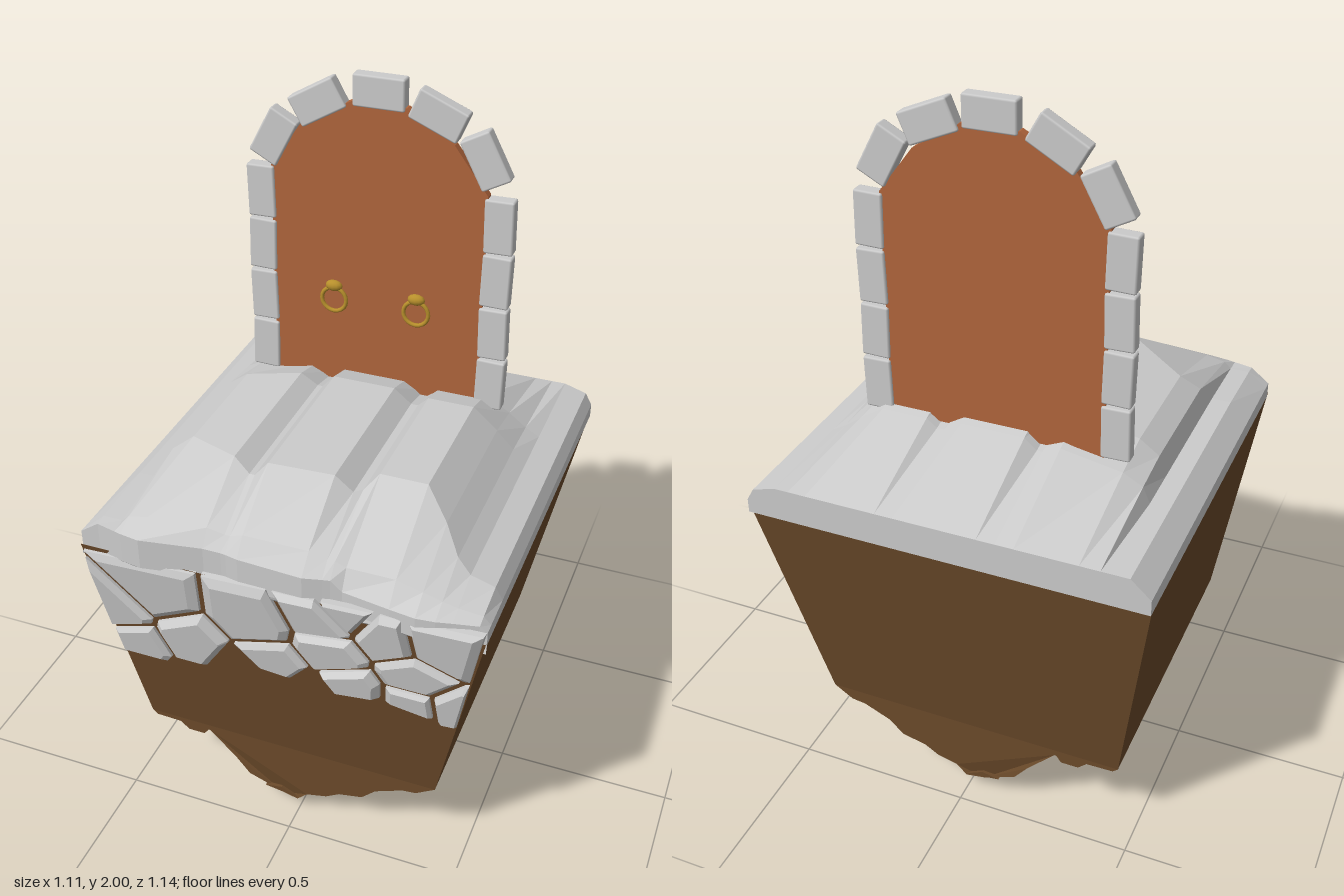
import * as THREE from 'three';
import { RoundedBoxGeometry } from 'three/addons/geometries/RoundedBoxGeometry.js';

const mat = (color, flatShading = true) => new THREE.MeshStandardMaterial({ color, flatShading });
const stoneMat = mat(0xcccccc);
const blockMat = mat(0xcccccc, false);
const earthMat = mat(0x6b4a2a);
const doorMat = mat(0xb0653c);
const goldMat = mat(0xb8902c, false);

function add(parent, name, geometry, material, pos = [0, 0, 0], rotZ = 0) {
  const mesh = new THREE.Mesh(geometry, material);
  mesh.name = name;
  mesh.position.set(...pos);
  mesh.rotation.z = rotZ;
  parent.add(mesh);
  return mesh;
}

// Faceted surface through rows of points
function patch(rows) {
  const pos = [];
  for (let i = 0; i < rows.length - 1; i++) {
    for (let j = 0; j < rows[i].length - 1; j++) {
      const a = rows[i][j], b = rows[i][j + 1], c = rows[i + 1][j], d = rows[i + 1][j + 1];
      pos.push(...a, ...c, ...b, ...b, ...c, ...d);
    }
  }
  const g = new THREE.BufferGeometry();
  g.setAttribute('position', new THREE.Float32BufferAttribute(pos, 3));
  g.computeVertexNormals();
  return g;
}

const shapeOf = pts => new THREE.Shape(pts.map(p => new THREE.Vector2(...p)));

// Sloping front of the earth block
const frontZ = y => 0.435 + Math.max(0, y - 0.25) * 0.16;

function earth(group) {
  const ring = (y, x0, x1, z0, z1) =>
    [[x0, y, z1], [x1, y, z1], [x1, y, z0], [x0, y, z0], [x0, y, z1]];
  add(group, 'earthBlock', patch([
    ring(0.915, -0.555, 0.555, -0.56, 0.541),
    ring(0.25, -0.455, 0.415, -0.455, 0.435),
  ]), earthMat);

  // Ragged underside, running front to back
  const prism = (name, pts) => {
    const g = new THREE.ExtrudeGeometry(shapeOf(pts), { depth: 1, bevelEnabled: false });
    const p = g.attributes.position;
    for (let i = 0; i < p.count; i++) {
      const taper = Math.max(0, 0.05 - p.getY(i)) * 2.7;
      p.setZ(i, p.getZ(i) > 0.5 ? 0.435 - taper : -0.455 + taper);
    }
    g.computeVertexNormals();
    add(group, name, g, earthMat);
  };
  prism('earthUnderside', [[-0.455, 0.25], [-0.44, 0.237], [-0.27, 0.232], [-0.19, 0.15], [-0.15, 0.1],
    [-0.05, 0.045], [0, 0.05], [0.03, 0.08], [0.09, 0.095], [0.13, 0.12], [0.2, 0.135], [0.24, 0.175],
    [0.32, 0.21], [0.36, 0.215], [0.415, 0.25]]);
  prism('lowestRidge', [[-0.1, 0.07], [-0.06, 0.005], [-0.04, 0], [0, 0.055], [-0.05, 0.08]]);
  prism('sideRidge', [[-0.37, 0.24], [-0.34, 0.212], [-0.29, 0.212], [-0.27, 0.24]]);
}

function slab(group) {
  // Ridges and grooves across the top: x, height, z where the front slope begins
  const cols = [
    [-0.555, 0.95, 0.3], [-0.5, 1, 0.3], [-0.445, 1, 0.3], [-0.425, 1.06, 0.24], [-0.37, 1.1, 0.22],
    [-0.2, 1.14, 0.32], [-0.15, 1.11, 0.34], [-0.135, 1.11, 0.34], [-0.1, 1.15, 0.33], [0.08, 1.15, 0.32],
    [0.13, 1.11, 0.32], [0.15, 1.11, 0.3], [0.18, 1.14, 0.26], [0.31, 1.14, 0.26], [0.38, 1.08, 0.32],
    [0.43, 1.03, 0.38], [0.47, 1, 0.4], [0.535, 0.98, 0.4], [0.555, 0.945, 0.4],
  ];
  const row = (height, depth) => {
    const pts = cols.map(([x, h, z]) => [x, height(h, x), depth(x, z)]);
    const [x0, , z0] = pts[0], [x1, , z1] = pts[pts.length - 1];
    return [[x0, 0.905, z0], ...pts, [x1, 0.905, z1]];
  };
  const back = h => Math.min(h, 1);
  const front = (h, x) => Math.min(h, x > 0.15 ? 0.96 : 0.99);
  const blend = (low, k) => (h, x) => low(h, x) + (h - low(h, x)) * k;
  const lip = x => 0.545 + 0.015 * Math.sin(x * 17 + 1.4);
  add(group, 'stoneTop', patch([
    row(() => 0.905, () => -0.57),
    row(back, () => -0.57),
    row(blend(back, 0.75), () => -0.26),
    row(h => h, () => -0.13),
    row(h => h, (x, z) => z),
    row(blend(front, 0.3), () => 0.5),
    row(front, lip),
    row(() => 0.9, lip),
    row(() => 0.88, () => 0.535),
  ]), stoneMat);
}

// Part of a polygon nearer to site a than to site b, less half a joint
function clip(poly, a, b) {
  const dx = b[0] - a[0], dy = b[1] - a[1], len = Math.hypot(dx, dy);
  const side = p => ((p[0] - a[0]) * dx + (p[1] - a[1]) * dy) / len - len / 2 + 0.007;
  const out = [];
  poly.forEach((p, i) => {
    const q = poly[(i + 1) % poly.length], s = side(p), t = side(q);
    if (s <= 0) out.push(p);
    if (s * t < 0) out.push([0, 1].map(k => p[k] + (q[k] - p[k]) * s / (s - t)));
  });
  return out;
}

// Bevelled stones on the sloping front, one cell around each centre
function cladding(group) {
  const wall = new THREE.Group();
  wall.name = 'frontStones';
  group.add(wall);
  const centres = [[-0.36, 0.8], [-0.485, 0.69], [-0.27, 0.63], [-0.44, 0.565], [-0.07, 0.79], [0.14, 0.74],
    [-0.02, 0.635], [0.19, 0.92], [0.3, 0.85], [0.37, 0.72], [0.43, 0.87], [0.19, 0.62], [0.37, 0.61],
    [0.47, 0.62], [0.12, 0.86]];
  // Empty cells that leave the lower edge ragged
  const gaps = [[-0.44, 0.455], [-0.27, 0.45], [-0.13, 0.54], [-0.03, 0.54], [0.08, 0.55], [0.2, 0.555],
    [0.36, 0.55], [0.48, 0.5]];
  const area = [[-0.493, 0.5], [0.468, 0.5], [0.555, 0.95], [-0.55, 0.9]];
  centres.forEach((c, n) => {
    const loop = [...centres, ...gaps].filter(o => o !== c).reduce((poly, o) => clip(poly, c, o), area).reverse();
    loop.push(loop[0]);
    const ring = (k, lift) => loop.map(([x, y]) => {
      const py = c[1] + (y - c[1]) * k;
      return [c[0] + (x - c[0]) * k, py, frontZ(py) + lift];
    });
    const height = 0.018 + 0.004 * (n % 3);
    add(wall, 'frontStone', patch([ring(1, -0.01), ring(0.98, 0.008), ring(0.78, height), ring(0, height)]), stoneMat);
  });
}

function door(group) {
  const z = -0.225;
  const set = new THREE.Group();
  set.name = 'doorway';
  group.add(set);

  const panel = new THREE.ExtrudeGeometry(shapeOf([[-0.31, 1.09], [0.295, 1.09], [0.295, 1.72], [0.2, 1.845],
    [0.07, 1.925], [-0.08, 1.925], [-0.22, 1.85], [-0.31, 1.72]]), { depth: 0.024, bevelEnabled: false });
  add(set, 'doorPanel', panel, doorMat, [0, 0, z - 0.012]);

  // Upright blocks of the frame
  for (const x of [-0.34, 0.328]) {
    for (let i = 0; i < 4; i++) {
      add(set, 'frameBlock', new RoundedBoxGeometry(0.08, 0.15, 0.04, 1, 0.006), blockMat,
        [x, 1.17 + i * 0.157, z], (i % 2 ? 1 : -1) * 0.02);
    }
  }
  // Blocks of the arch: x, y, tilt
  for (const [x, y, tilt] of [[-0.3, 1.8, 1.08], [-0.175, 1.91, 0.52], [-0.005, 1.957, 0], [0.155, 1.917, -0.4], [0.283, 1.815, -1.08]]) {
    add(set, 'archBlock', new RoundedBoxGeometry(0.142, 0.086, 0.04, 1, 0.006), blockMat, [x, y, z], tilt);
  }
  // Ring handles
  for (const x of [-0.13, 0.11]) {
    const knob = add(set, 'handleKnob', new THREE.SphereGeometry(0.025, 12, 8), goldMat, [x, 1.392, z + 0.014]);
    knob.scale.set(1, 0.65, 0.6);
    add(set, 'handleRing', new THREE.TorusGeometry(0.036, 0.006, 8, 20), goldMat, [x, 1.35, z + 0.015]);
  }
}

export function createModel() {
  const group = new THREE.Group();
  group.name = 'floatingDoorway';
  earth(group);
  slab(group);
  cladding(group);
  door(group);
  return group;
}
